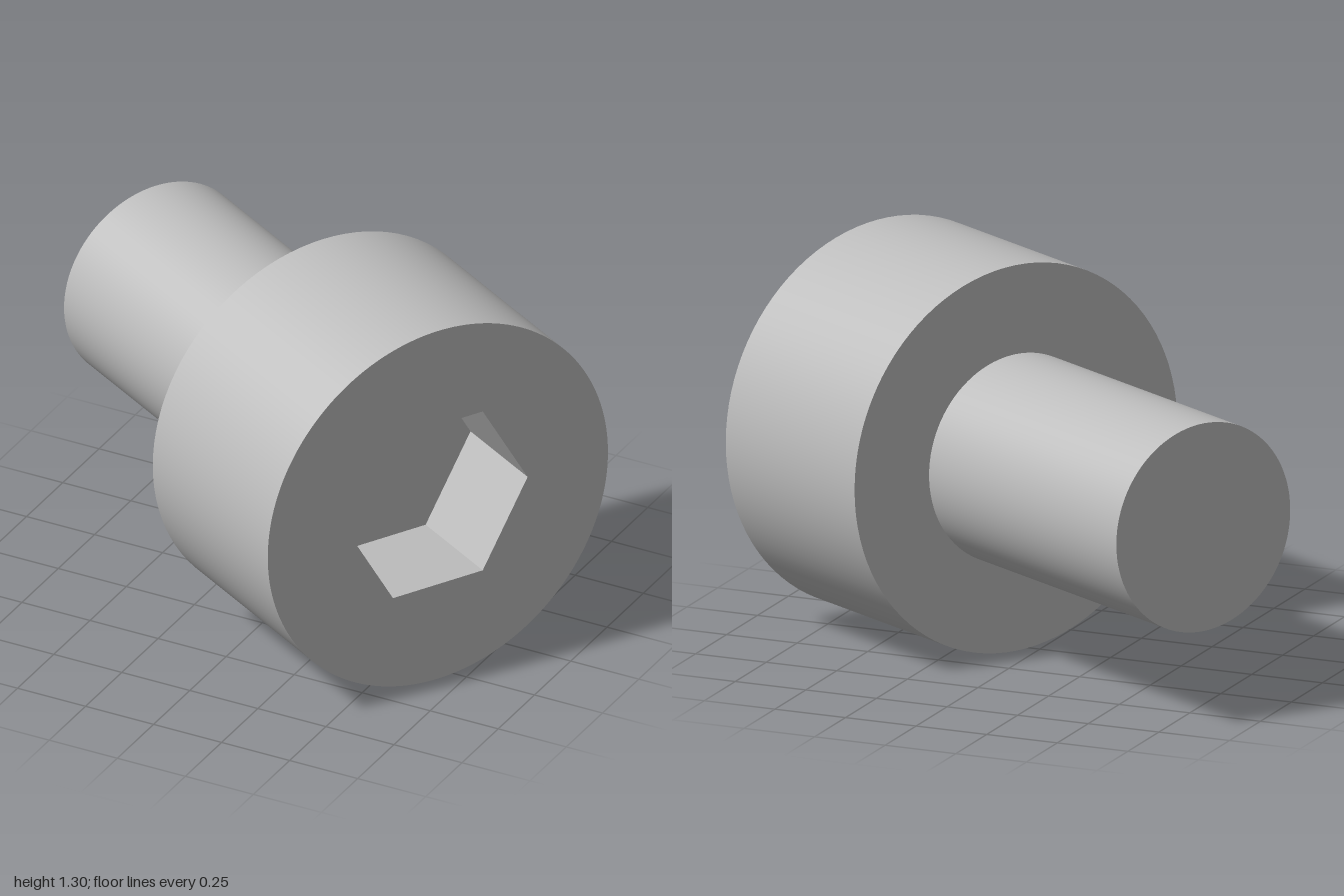
import * as THREE from 'three';

const HEAD_R = 0.65, SHANK_R = 0.35, HEX_R = 0.343;
const FRONT = 0.735, BACK = 0.03, END = -0.995; // stations along the bolt axis
const SOCKET_DEPTH = 0.35, SEGMENTS = 96;

// Cylinder along z between two stations
function cylinderZ(radius, z0, z1, sides, open, start = 0) {
  return new THREE.CylinderGeometry(radius, radius, z1 - z0, sides, 1, open, start)
    .rotateX(Math.PI / 2)
    .translate(0, 0, (z0 + z1) / 2);
}

export function createModel() {
  const steel = new THREE.MeshStandardMaterial({ color: 0xbcbcbc });
  steel.name = 'steel grey';

  const bolt = new THREE.Group();
  bolt.name = 'socketHeadBolt';
  const add = (name, geometry) => {
    const mesh = new THREE.Mesh(geometry, steel);
    mesh.name = name;
    bolt.add(mesh);
  };

  // Shank
  add('shank', cylinderZ(SHANK_R, END, BACK, SEGMENTS, false));

  // Head: side wall, rear shoulder and front face with a hexagonal opening
  add('headSide', cylinderZ(HEAD_R, BACK, FRONT, SEGMENTS, true));
  add('headShoulder', new THREE.RingGeometry(SHANK_R, HEAD_R, SEGMENTS)
    .rotateY(Math.PI).translate(0, 0, BACK));

  const hexPoints = Array.from({ length: 6 }, (_, i) => new THREE.Vector2(
    HEX_R * Math.cos(i * Math.PI / 3), HEX_R * Math.sin(i * Math.PI / 3)));
  const face = new THREE.Shape().absarc(0, 0, HEAD_R, 0, Math.PI * 2);
  face.holes.push(new THREE.Path(hexPoints));
  add('headFace', new THREE.ShapeGeometry(face, SEGMENTS).translate(0, 0, FRONT));

  // Hex socket: inward-facing flat walls and floor
  const floorZ = FRONT - SOCKET_DEPTH;
  const walls = cylinderZ(HEX_R, floorZ, FRONT, 6, true, Math.PI / 6)
    .scale(-1, 1, 1).toNonIndexed();
  walls.computeVertexNormals();
  add('socketWalls', walls);
  add('socketFloor', new THREE.ShapeGeometry(new THREE.Shape(hexPoints))
    .translate(0, 0, floorZ));

  // Bolt lies horizontally, turned 60 degrees from the front
  bolt.rotation.y = Math.PI / 3;
  bolt.position.set(0.037, HEAD_R, -0.064);

  const model = new THREE.Group();
  model.name = 'bolt';
  model.add(bolt);
  return model;
}
